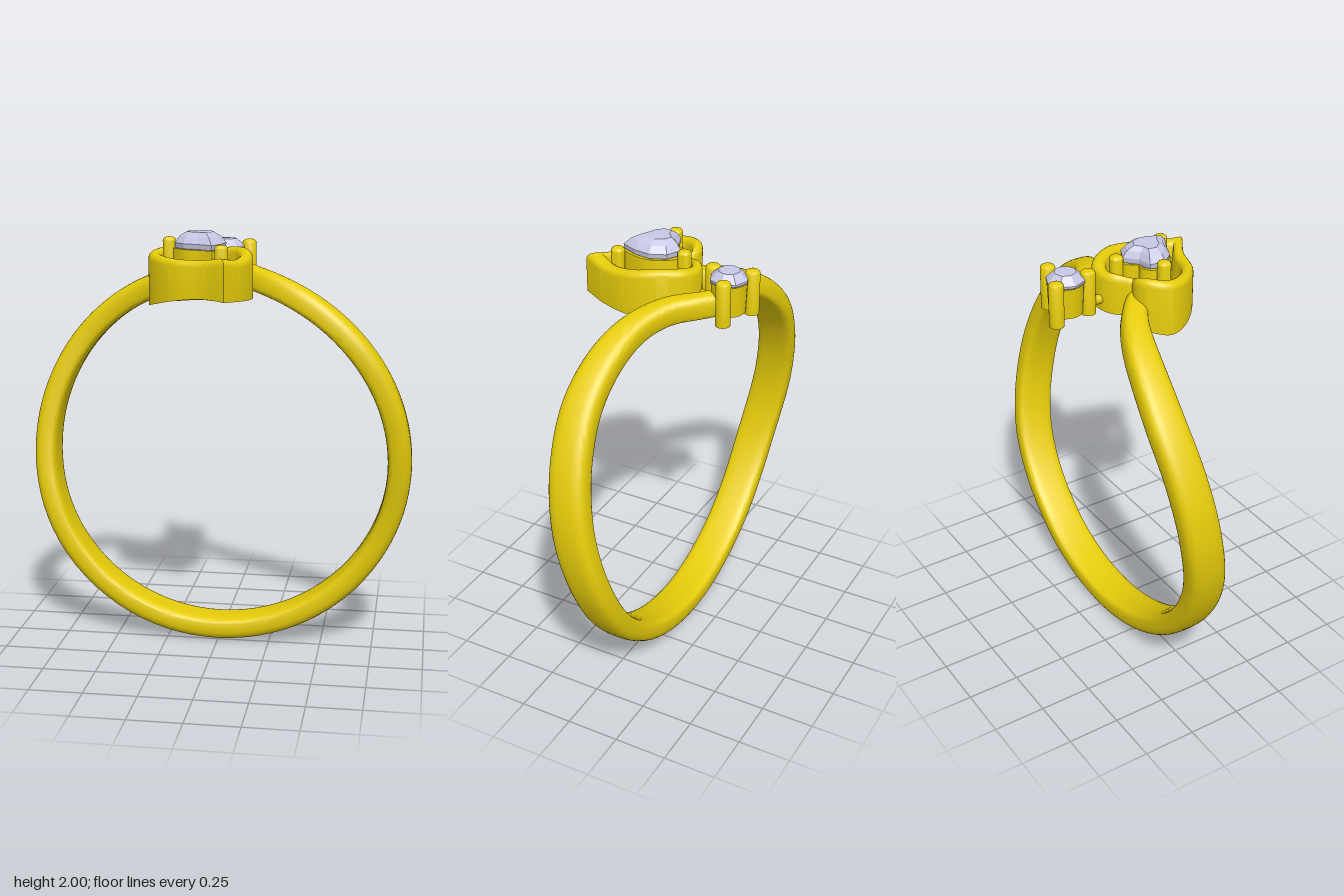
import * as THREE from 'three';
import { toCreasedNormals } from 'three/addons/utils/BufferGeometryUtils.js';

const gold = new THREE.MeshStandardMaterial({ color: 0xe6cc0a });
const gem = new THREE.MeshStandardMaterial({ color: 0xc8c8e6, flatShading: true });
const V = (x, y, z) => new THREE.Vector3(x, y, z);

// Skin a list of closed cross-sections; loop joins the last one to the first.
function loft(rings, loop, crease = 0.6) {
  const n = rings[0].length, m = rings.length, index = [];
  const pts = rings.flat();
  for (let i = 0; i < (loop ? m : m - 1); i++) {
    for (let j = 0; j < n; j++) {
      const k = (j + 1) % n, r = ((i + 1) % m) * n;
      index.push(i * n + j, i * n + k, r + k, i * n + j, r + k, r + j);
    }
  }
  // Turn the faces outwards if the enclosed volume is negative
  let volume = 0;
  const mid = V(0, 0, 0);
  pts.forEach(p => mid.addScaledVector(p, 1 / pts.length));
  for (let i = 0; i < index.length; i += 3) {
    const [a, b, c] = [0, 1, 2].map(k => pts[index[i + k]].clone().sub(mid));
    volume += a.dot(b.cross(c));
  }
  if (volume < 0) index.reverse();
  const g = new THREE.BufferGeometry().setFromPoints(pts);
  g.setIndex(index);
  return toCreasedNormals(g, crease);
}

// Bypass band: keyframes of angle from the bottom, z and half width
function bandGeometry() {
  const keys = [
    [0, -0.055, 0.0925], [33, -0.055, 0.0925], [68, -0.035, 0.094], [95, 0.03, 0.093],
    [115, 0.07, 0.09], [132, 0.085, 0.086], [150, 0.052, 0.075], [161, -0.005, 0.062],
    [168, -0.075, 0.055], [170.5, -0.115, 0.053], [174, -0.185, 0.048], [177.5, -0.24, 0.045],
  ];
  const rad = Math.PI / 180;
  const right = keys.map(([a, z, w]) => V(a * rad, z, w));
  const left = keys.slice(1, -2).reverse().map(([a, z, w]) => V(-a * rad, -0.11 - z, w));
  const curve = new THREE.CatmullRomCurve3([...left, ...right]);
  const R = 0.865, N = 160, M = 32, rings = [];
  for (let i = 0; i <= N; i++) {
    const k = curve.getPoint(i / N), d = curve.getTangent(i / N);
    const out = V(Math.sin(k.x), -Math.cos(k.x), 0);
    const along = V(Math.cos(k.x) * R * d.x, Math.sin(k.x) * R * d.x, d.y).normalize();
    const side = along.cross(out);
    const center = V(0, 0.92, k.y);
    const ring = [];
    for (let j = 0; j < M; j++) {
      const a = (j / M) * Math.PI * 2, c = Math.cos(a), s = Math.sin(a);
      const u = k.z * Math.sign(c) * Math.abs(c) ** 0.6;
      const v = 0.855 + (s > 0 ? 0.065 * s ** 0.75 : -0.047 * Math.abs(s) ** 0.45);
      ring.push(center.clone().addScaledVector(out, v).addScaledVector(side, u));
    }
    // Close the two tips
    const tip = center.clone().addScaledVector(out, 0.862);
    if (i === 0) rings.push(ring.map(() => tip));
    rings.push(ring);
    if (i === N) rings.push(ring.map(() => tip));
  }
  return loft(rings, false, 0.7);
}

// Heart outline, sharp at notch and tip; y holds the wavy rim height
function heartOutline(n) {
  const notch = V(-0.14, 1.88, -0.03), tip = V(0.085, 1.905, 0.392);
  const half = [
    new THREE.CatmullRomCurve3([notch, V(-0.09, 1.9, -0.105), V(-0.02, 1.9, -0.132),
      V(0.07, 1.915, -0.108), V(0.15, 1.92, 0), V(0.178, 1.905, 0.12), V(0.145, 1.89, 0.27), tip]),
    new THREE.CatmullRomCurve3([tip, V(-0.02, 1.89, 0.328), V(-0.17, 1.89, 0.275),
      V(-0.28, 1.9, 0.165), V(-0.308, 1.91, 0.065), V(-0.25, 1.92, -0.025), V(-0.19, 1.905, -0.045), notch]),
  ];
  return half.flatMap(c => c.getSpacedPoints(n).slice(0, n));
}

const HX = -0.07, HZ = 0.09;
const finger = x => 0.91 + Math.sqrt(0.81 * 0.81 - x * x);
// Scaled copy of the heart outline with its height given by a rule
const heartRing = (outline, s, height) => outline.map(p => {
  const x = HX + s * (p.x - HX);
  return V(x, height(x, p.y), HZ + s * (p.z - HZ));
});

// Prong with a domed top
function prong(x, z, bottom, top, r) {
  const profile = [new THREE.Vector2(0, bottom), new THREE.Vector2(r, bottom)];
  for (let i = 0; i <= 6; i++) {
    const a = (i / 6) * Math.PI / 2;
    profile.push(new THREE.Vector2(r * Math.cos(a), top - 0.018 + 0.018 * Math.sin(a)));
  }
  const g = toCreasedNormals(new THREE.LatheGeometry(profile, 20), 0.7);
  return g.translate(x, 0, z);
}

export function createModel() {
  const model = new THREE.Group();
  const add = (name, geometry, material = gold) => {
    const mesh = new THREE.Mesh(geometry, material);
    mesh.name = name;
    model.add(mesh);
    return mesh;
  };

  add('band', bandGeometry());

  // Heart wall with a rounded rim, thicker at the finger side
  const outline = heartOutline(48);
  const wall = [heartRing(outline, 1, finger)];
  for (let i = 0; i <= 10; i++) {
    const a = (i / 10) * Math.PI;
    wall.push(heartRing(outline, 0.87 + 0.13 * Math.cos(a), (x, y) => y - 0.03 + 0.03 * Math.sin(a)));
  }
  wall.push(heartRing(outline, 0.66, finger));
  add('heartWall', loft(wall, true));

  // Inner basket holding the heart stone
  add('heartBasket', loft([
    heartRing(outline, 0.55, x => finger(x) - 0.015),
    heartRing(outline, 0.52, () => 1.925),
    heartRing(outline, 0.44, () => 1.925),
    heartRing(outline, 0.28, x => finger(x) - 0.015),
  ], true));

  // Faceted heart stone
  const cut = heartOutline(5);
  add('heartStone', loft([[0, 1.79], [0.49, 1.93], [0.5, 1.95], [0.4, 1.98], [0.26, 2], [0, 2]]
    .map(([s, y]) => heartRing(cut, s, () => y)), false, 0.01), gem);

  for (const [x, z, top] of [[-0.21, 0.09, 1.975], [-0.035, -0.045, 1.965], [0.052, 0.245, 1.955]]) {
    add('heartProng', prong(x, z, 1.71, top, 0.031));
  }

  // Small round setting
  const sx = 0, sz = -0.285;
  const lathe = (pts, n) => new THREE.LatheGeometry(pts.map(p => new THREE.Vector2(...p)), n).translate(sx, 0, sz);
  add('roundCup', toCreasedNormals(
    lathe([[0.025, 1.74], [0.075, 1.74], [0.082, 1.885], [0.068, 1.885], [0.025, 1.8], [0.025, 1.74]], 32), 0.6));
  add('roundStone', lathe([[0, 1.79], [0.088, 1.89], [0.088, 1.9], [0.05, 1.935], [0, 1.937]], 8), gem);
  for (const [x, z] of [[0.108, -0.31], [-0.062, -0.368], [-0.033, -0.19]]) {
    add('roundProng', prong(x, z, 1.72, 1.932, 0.034));
  }

  // Short bar joining the two settings
  const bar = add('settingBridge', new THREE.CylinderGeometry(0.022, 0.022, 0.1, 16));
  bar.rotation.x = Math.PI / 2;
  bar.position.set(-0.03, 1.77, -0.15);

  return model;
}
